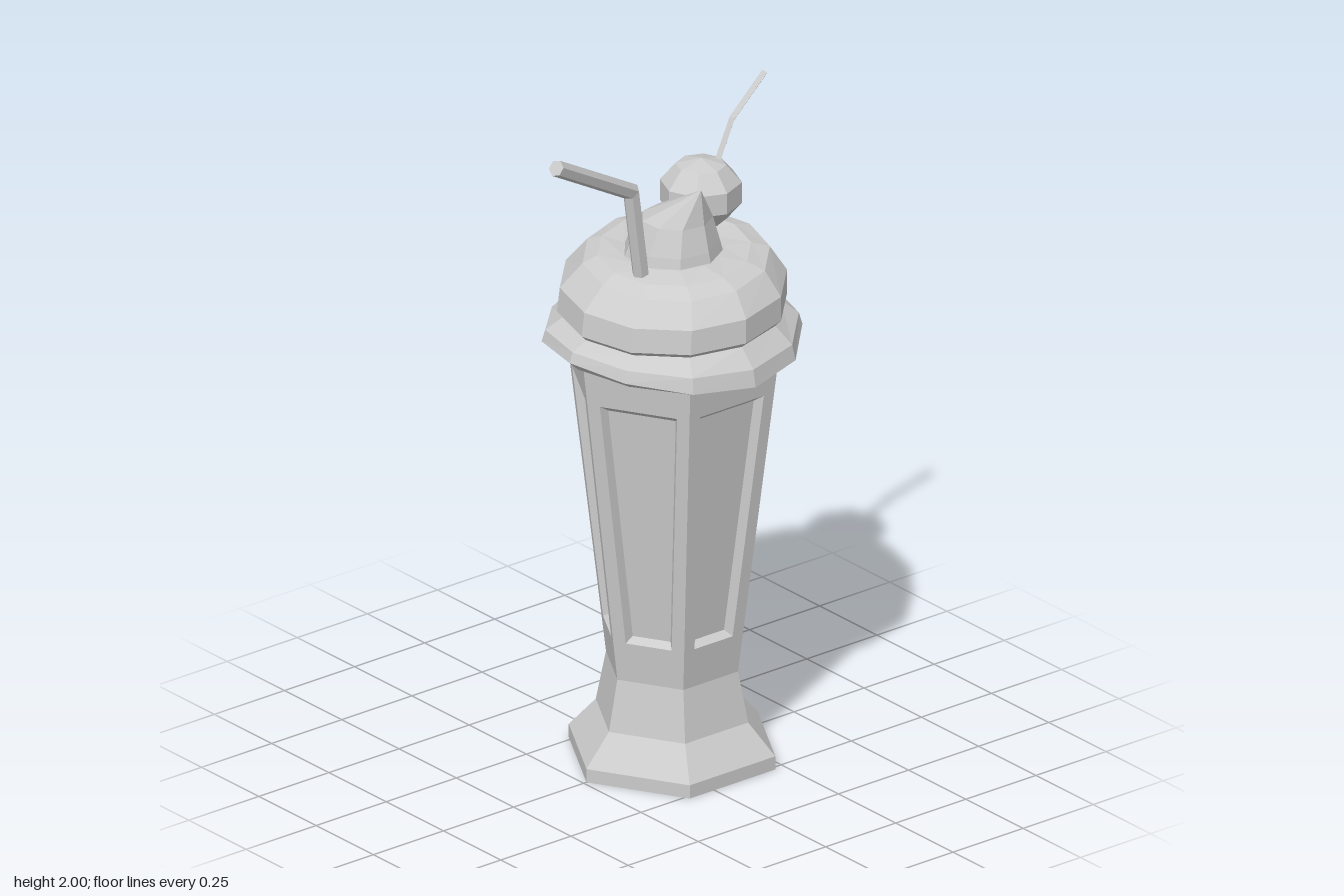
import * as THREE from 'three';

const CX = 0.065; // axis of the glass
const V = (x, y, z) => new THREE.Vector3(x, y, z);

// Skin a list of equal-length rings, counter-clockwise seen from the end side.
function loft(rings, capStart = true, capEnd = true) {
  const pos = [];
  const tri = (...pts) => pts.forEach((p) => pos.push(p.x, p.y, p.z));
  const n = rings[0].length;
  const middle = (ring) => ring.reduce((s, p) => s.add(p), V(0, 0, 0)).divideScalar(n);
  const first = rings[0], last = rings[rings.length - 1];
  for (let j = 0; j < n; j++) {
    const k = (j + 1) % n;
    for (let i = 0; i + 1 < rings.length; i++) {
      const a = rings[i], b = rings[i + 1];
      tri(a[j], a[k], b[k]);
      tri(a[j], b[k], b[j]);
    }
    if (capStart) tri(middle(first), first[k], first[j]);
    if (capEnd) tri(middle(last), last[j], last[k]);
  }
  const geo = new THREE.BufferGeometry();
  geo.setAttribute('position', new THREE.Float32BufferAttribute(pos, 3));
  geo.computeVertexNormals();
  return geo;
}

// Horizontal polygon; height may depend on the angle.
function ring(n, r, y, dx = 0, dz = 0) {
  return Array.from({ length: n }, (_, j) => {
    const a = (j / n) * Math.PI * 2;
    const h = typeof y === 'function' ? y(a) : y;
    return V(CX + dx + r * Math.cos(a), h, dz - r * Math.sin(a));
  });
}

// Straight-sided rod along a few points, mitred at the bends.
function rod(points, radius, sides) {
  const n = points.length;
  const dir = (i) => points[i + 1].clone().sub(points[i]).normalize();
  const d0 = dir(0);
  const u = V(0, 0, 1).cross(d0).normalize();
  const w = d0.clone().cross(u);
  let current = Array.from({ length: sides }, (_, j) => {
    const a = (j / sides) * Math.PI * 2;
    return points[0].clone().addScaledVector(u, radius * Math.cos(a)).addScaledVector(w, radius * Math.sin(a));
  });
  const rings = [current];
  for (let i = 1; i < n; i++) {
    const along = dir(i - 1);
    const normal = i < n - 1 ? along.clone().add(dir(i)).normalize() : along;
    current = current.map((p) => {
      const t = points[i].clone().sub(p).dot(normal) / along.dot(normal);
      return p.clone().addScaledVector(along, t);
    });
    rings.push(current);
  }
  return loft(rings);
}

export function createModel() {
  const model = new THREE.Group();
  const material = new THREE.MeshStandardMaterial({ color: 0xcccccc, flatShading: true, side: THREE.DoubleSide });
  const add = (name, geo, parent = model) => {
    const mesh = new THREE.Mesh(geo, material);
    mesh.name = name;
    parent.add(mesh);
    return mesh;
  };

  // Six-sided foot and waist
  const glass = new THREE.Group();
  glass.name = 'glass';
  model.add(glass);
  const WAIST = [0.195, 0.28], LIP = [0.315, 1.25];
  add('foot', loft([[0.305, 0], [0.305, 0.04], [0.225, 0.13], WAIST].map(([r, y]) => ring(6, r, y)), true, false), glass);

  // Flared walls, each with a sunken panel
  const radiusAt = (y) => THREE.MathUtils.mapLinear(y, WAIST[1], LIP[1], WAIST[0], LIP[0]);
  for (let side = 0; side < 6; side++) {
    const a = ((side + 0.5) / 6) * Math.PI * 2;
    const out = V(Math.cos(a), 0, -Math.sin(a));
    const across = V(-Math.sin(a), 0, -Math.cos(a));
    const point = (y, half, depth) =>
      V(CX, y, 0).addScaledVector(out, radiusAt(y) * Math.cos(Math.PI / 6) - depth).addScaledVector(across, half);
    const frame = (y0, y1, inset, depth) => {
      const h0 = radiusAt(y0) / 2 - inset, h1 = radiusAt(y1) / 2 - inset;
      return [point(y0, -h0, depth), point(y0, h0, depth), point(y1, h1, depth), point(y1, -h1, depth)];
    };
    const wall = [frame(WAIST[1], LIP[1], 0, 0), frame(0.4, 1.145, 0.037, 0), frame(0.415, 1.125, 0.05, 0.025)];
    add('wallPanel', loft(wall, false, true), glass);
  }

  // Whipped cream: drooping rim, swirled bulge and curled tip
  const wave = (y, amp) => (a) => y + amp * Math.cos(2 * a);
  const tilt = (y, amp) => (a) => y + amp * (Math.cos(a) + Math.sin(a));
  add('whippedCream', loft([
    ring(12, 0.27, 1.25),
    ring(12, 0.335, wave(1.25, 0.012)),
    ring(12, 0.365, wave(1.265, 0.025)),
    ring(12, 0.355, wave(1.305, 0.015)),
    ring(12, 0.305, tilt(1.35, 0.008)),
    ring(12, 0.322, tilt(1.37, 0.012)),
    ring(12, 0.318, tilt(1.44, 0.012), 0.005),
    ring(12, 0.262, tilt(1.51, 0.018), 0.015),
    ring(12, 0.215, tilt(1.53, 0.012), 0.008),
    ring(12, 0.142, 1.53),
  ]));
  add('creamTip', loft([
    ring(9, 0.143, 1.52),
    ring(9, 0.13, 1.56, 0, 0.005),
    ring(9, 0.1, 1.635, 0.005, 0.015),
    ring(9, 0.002, 1.737, 0.02, 0.1),
  ]));

  // Cherry with its bent stem
  const cherry = add('cherry', new THREE.SphereGeometry(0.12, 8, 5));
  cherry.scale.y = 0.84;
  cherry.position.set(0.232, 1.632, -0.078);
  add('cherryStem', rod([V(0.27, 1.68, -0.07), V(0.345, 1.82, -0.08), V(0.47, 1.92, -0.092)], 0.011, 4));

  // Bent drinking straw
  add('straw', rod([V(-0.08, 1.45, 0.052), V(-0.14, 1.79, 0.072), V(-0.465, 1.98, 0.143)], 0.024, 6));

  return model;
}
